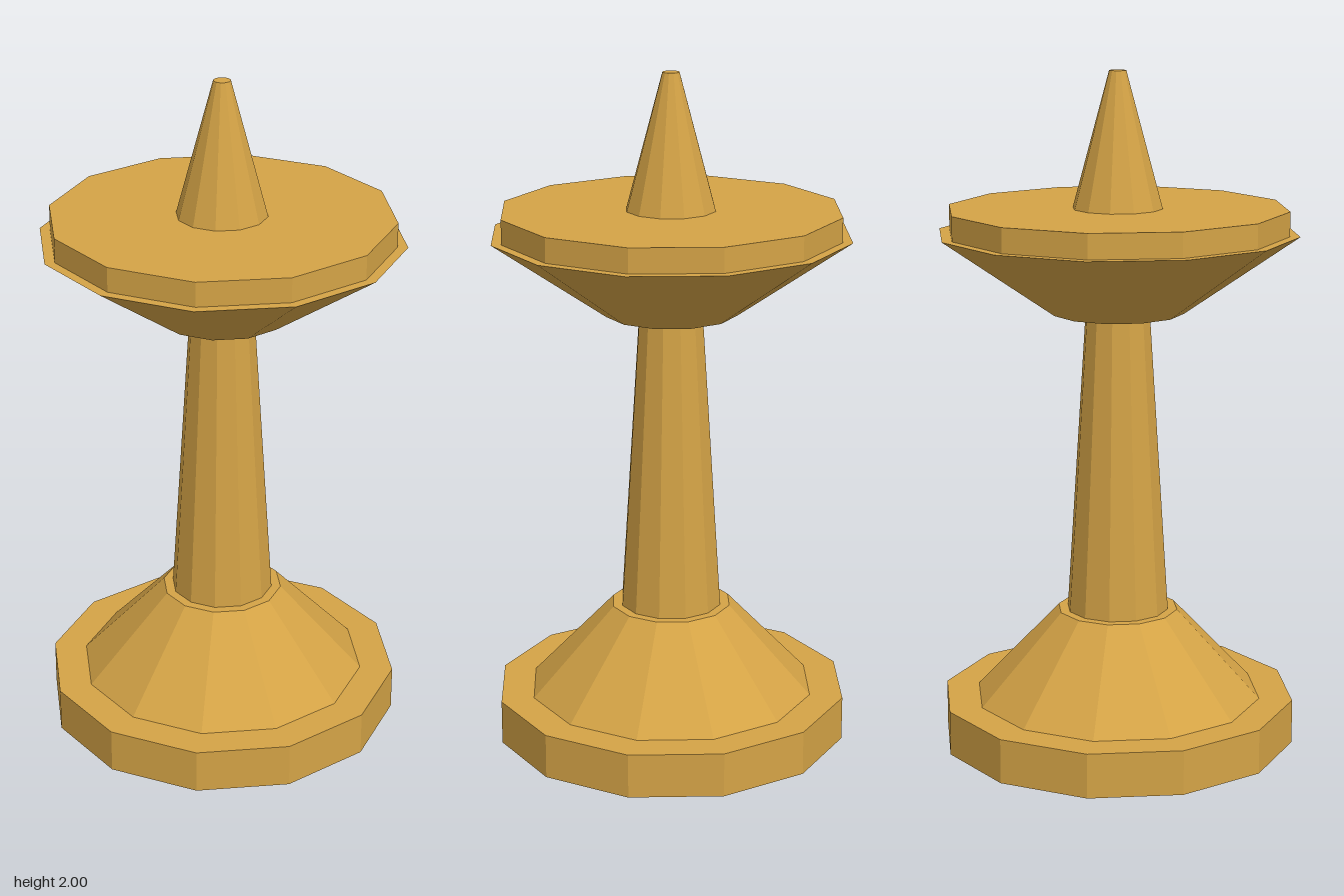
import * as THREE from 'three';

const SIDES = 12;

export function createModel() {
  const group = new THREE.Group();
  group.name = 'spikedStand';
  const brass = new THREE.MeshStandardMaterial({ color: 0xd4a346 });
  brass.name = 'brass';
  brass.flatShading = true;

  // A twelve-sided tapered section between two heights
  function section(name, bottomRadius, topRadius, y0, y1) {
    const geometry = new THREE.CylinderGeometry(topRadius, bottomRadius, y1 - y0, SIDES);
    const mesh = new THREE.Mesh(geometry, brass);
    mesh.name = name;
    mesh.position.y = (y0 + y1) / 2;
    group.add(mesh);
  }

  // Foot and stem
  section('basePlate', 0.53, 0.53, 0, 0.133);
  section('baseCone', 0.43, 0.18, 0.133, 0.4);
  section('stem', 0.152, 0.095, 0.4, 1.3);

  // Drip tray: flared underside with a slightly smaller rim
  section('trayUnderside', 0.195, 0.53, 1.3, 1.533);
  section('trayRim', 0.5, 0.5, 1.533, 1.605);

  // Spike
  section('spike', 0.132, 0.025, 1.605, 2);

  return group;
}
